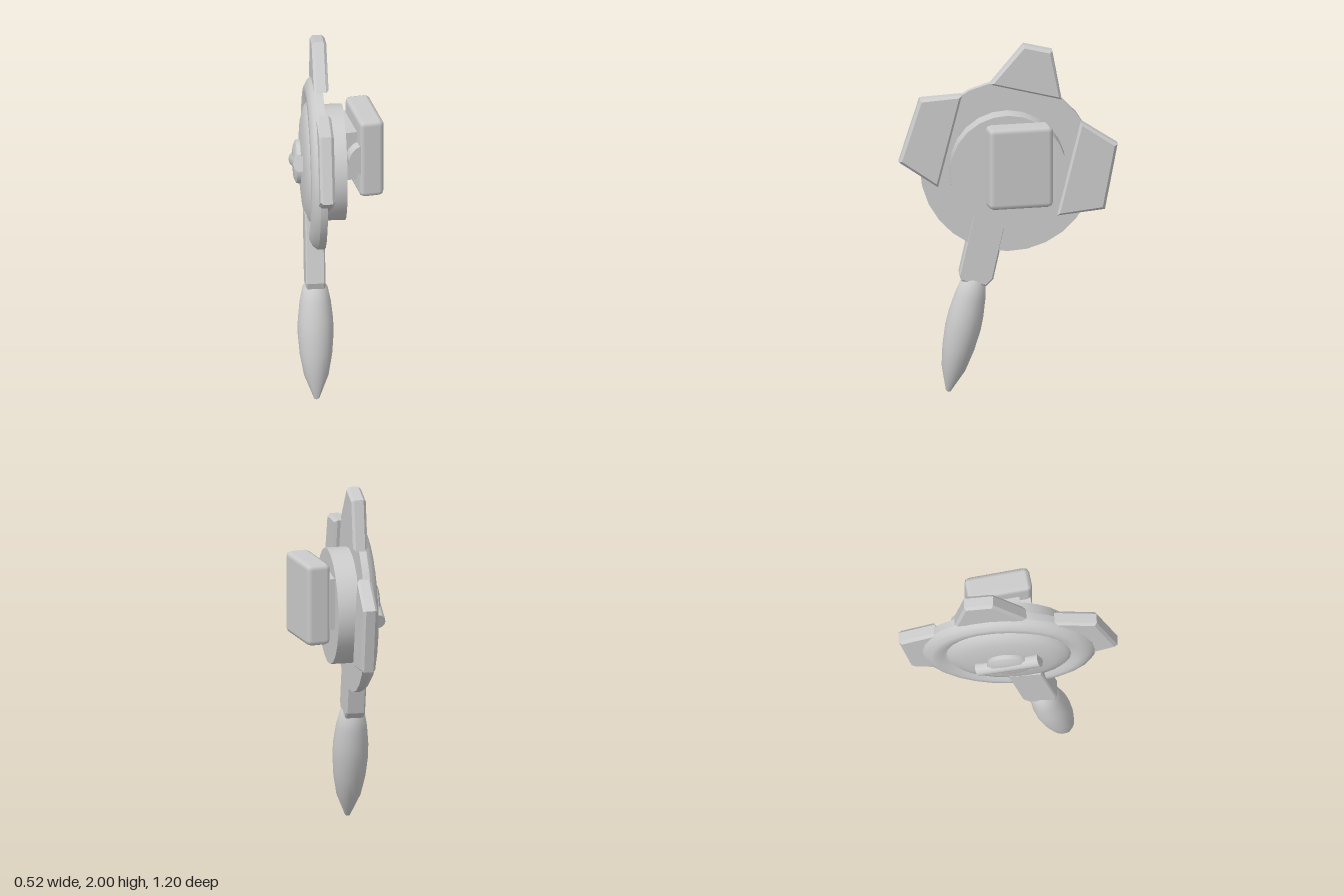
import * as THREE from 'three';
import { toCreasedNormals } from 'three/addons/utils/BufferGeometryUtils.js';
import { RoundedBoxGeometry } from 'three/addons/geometries/RoundedBoxGeometry.js';

const grey = new THREE.MeshStandardMaterial({ color: 0xcccccc });
grey.name = 'light grey';

function add(parent, name, geometry, x = 0, y = 0, z = 0) {
  const mesh = new THREE.Mesh(geometry, grey);
  mesh.name = name;
  mesh.position.set(x, y, z);
  parent.add(mesh);
  return mesh;
}

// Flat plate with an outline in (z, y), running along x from x0 to x1, with bevelled edges
function plate(outline, x0, x1, bevel) {
  const shape = new THREE.Shape(outline.map(([z, y]) => new THREE.Vector2(-z, y)));
  const geometry = new THREE.ExtrudeGeometry(shape, {
    depth: x1 - x0 - 2 * bevel, bevelEnabled: bevel > 0, bevelSegments: 1,
    bevelThickness: bevel, bevelSize: bevel, bevelOffset: -bevel,
  });
  return geometry.translate(0, 0, x0 + bevel).rotateY(Math.PI / 2);
}

// Surface of revolution from [radius, height] points, with sharp edges kept
function turned(profile, sides) {
  const points = profile.map(([r, h]) => new THREE.Vector2(r, h));
  return toCreasedNormals(new THREE.LatheGeometry(points, sides), 0.6);
}

export function createModel() {
  const model = new THREE.Group();
  model.name = 'bladedDisc';

  // Everything but the mounting block is turned slightly about the vertical
  const body = new THREE.Group();
  body.name = 'body';
  body.rotation.y = -Math.PI / 18;
  model.add(body);
  const cy = 1.3, cz = 0.017;

  // Domed disc with a rounded outer ring and a groove
  const disc = turned([
    [0, -0.185], [0.14, -0.182], [0.25, -0.17], [0.32, -0.15], [0.345, -0.128],
    [0.36, -0.132], [0.39, -0.148], [0.43, -0.145], [0.465, -0.125], [0.485, -0.1],
    [0.485, -0.06], [0, -0.06],
  ], 28).rotateZ(-Math.PI / 2);
  add(body, 'disc', disc, 0, cy, cz);

  // Thick drum on the mounting side
  const drum = turned([[0, -0.075], [0.323, -0.075], [0.323, 0.06], [0, 0.06]], 24).rotateZ(-Math.PI / 2);
  add(body, 'drum', drum, 0, cy, cz);

  // Three blades around the rim
  const blades = {
    topBlade: [[-0.07, 2.0], [-0.23, 1.965], [-0.282, 1.685], [0.115, 1.775]],
    frontBlade: [[0.505, 1.695], [0.27, 1.715], [0.403, 1.19], [0.62, 1.335]],
    rearBlade: [[-0.388, 1.555], [-0.592, 1.425], [-0.522, 1.055], [-0.257, 1.02]],
  };
  for (const [name, outline] of Object.entries(blades)) {
    add(body, name, plate(outline, -0.11, -0.028, 0.015));
  }

  // Hub and slanted turn bar on the domed side
  const hub = turned([[0, -0.222], [0.09, -0.218], [0.12, -0.205], [0.125, -0.16]], 24).rotateZ(-Math.PI / 2);
  add(body, 'hub', hub, 0, cy + 0.01, cz);
  const bar = new THREE.CylinderGeometry(0.045, 0.045, 0.37, 12).scale(0.9, 1, 1).rotateX(Math.PI / 2);
  add(body, 'turnBar', bar, -0.192, cy + 0.01, cz).rotation.x = -0.38;

  // Slanted handle with a pointed tip below
  const handle = new THREE.Group();
  handle.name = 'handle';
  handle.position.set(-0.112, 0, 0.344);
  handle.rotation.x = -0.2187;
  body.add(handle);
  const neck = [[-0.1, 1.08], [0.09, 1.08], [0.09, 0.68], [0.07, 0.645], [-0.07, 0.645], [-0.1, 0.69]];
  add(handle, 'neck', plate(neck, -0.054, 0.054, 0.008));
  add(handle, 'tip', turned([
    [0, 0], [0.014, 0.006], [0.068, 0.14], [0.09, 0.26], [0.1, 0.38],
    [0.098, 0.46], [0.087, 0.56], [0.07, 0.645], [0.05, 0.67], [0, 0.67],
  ], 20));

  // Mounting block, square to the axes, with its pivot and spacer
  const block = new RoundedBoxGeometry(0.14, 0.465, 0.365, 1, 0.03);
  add(model, 'mountingBlock', block, 0.185, 1.367, -0.005);
  add(model, 'spacer', new THREE.BoxGeometry(0.1, 0.29, 0.28), 0.08, 1.365, -0.04);
  const pivot = new THREE.CylinderGeometry(0.09, 0.09, 0.345, 20).rotateX(Math.PI / 2);
  add(model, 'pivot', pivot, 0.145, 1.365, -0.008);

  return model;
}
